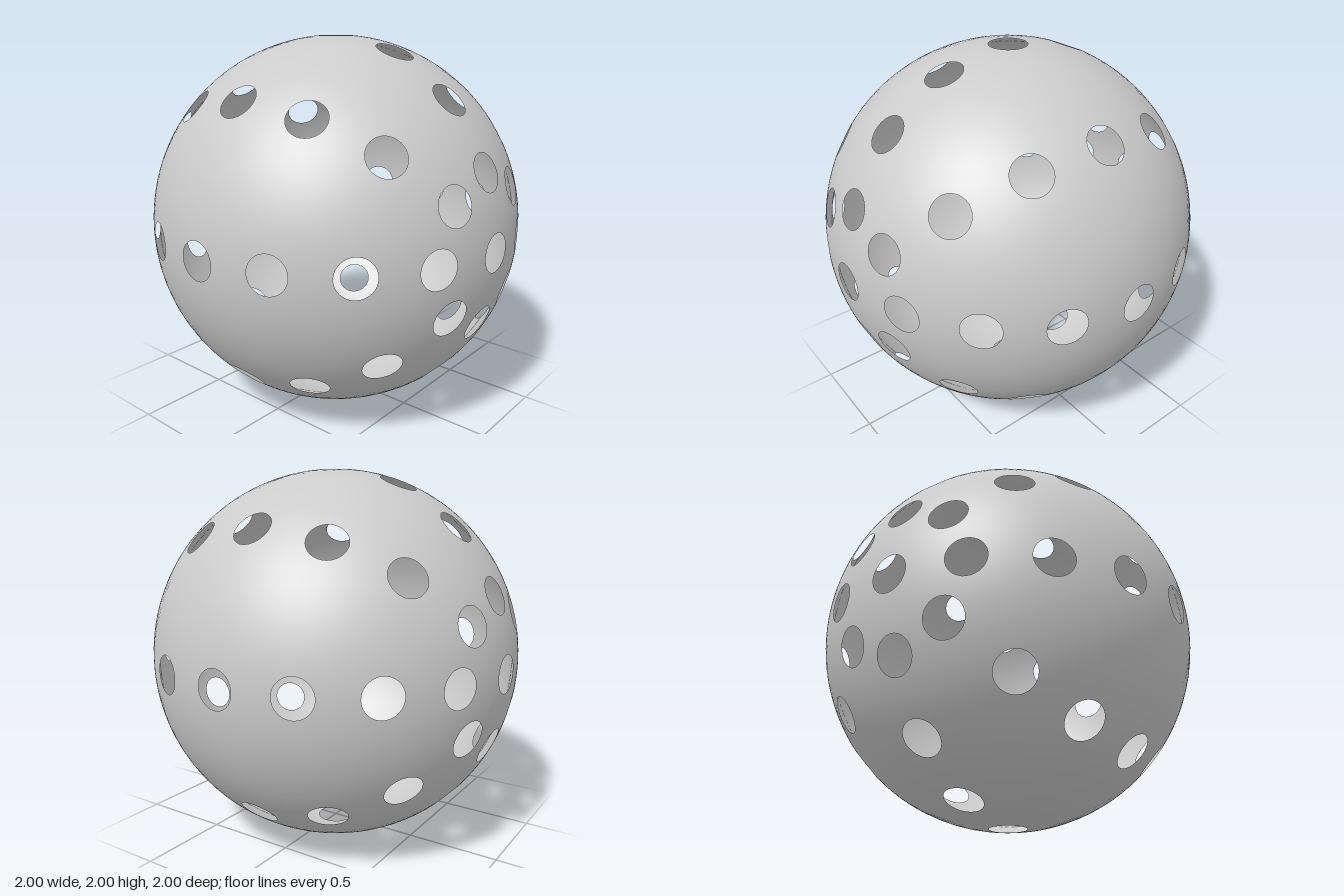
import * as THREE from 'three';

const RADIUS = 1.0048;            // hole rims on the axes then reach exactly 1
const HOLE = Math.asin(0.098);    // angular radius of a hole
const STEP = Math.PI / 8;         // angle between hole rings, counted from the z axis
const SECTOR = Math.PI / 4;       // angle between holes around the z axis
const RINGS = 4, N_THETA = 12, N_PHI = 32;

const direction = (theta, phi) => new THREE.Vector3(
  Math.sin(theta) * Math.cos(phi), Math.sin(theta) * Math.sin(phi), Math.cos(theta));

// Spherical patch between a round hole at its centre and a counter-clockwise outline
function addHoledPatch(positions, indices, centre, outline) {
  const base = positions.length / 3, count = outline.length, row = RINGS + 1;
  for (const point of outline) {
    const reach = centre.angleTo(point);
    const tangent = point.clone().addScaledVector(centre, -point.dot(centre)).normalize();
    for (let k = 0; k <= RINGS; k++) {
      const angle = THREE.MathUtils.lerp(HOLE, reach, k / RINGS);
      const p = centre.clone().multiplyScalar(Math.cos(angle)).addScaledVector(tangent, Math.sin(angle));
      positions.push(p.x, p.y, p.z);
    }
  }
  for (let i = 0; i < count; i++) {
    for (let k = 0; k < RINGS; k++) {
      const a = base + i * row + k, b = base + ((i + 1) % count) * row + k;
      indices.push(a, a + 1, b + 1, a, b + 1, b);
    }
  }
}

// Outline of one cell, walked along its four sides
function cellOutline(theta, phi) {
  const t0 = theta - STEP / 2, t1 = theta + STEP / 2;
  const p0 = phi - SECTOR / 2, p1 = phi + SECTOR / 2;
  const corners = [[t0, p0], [t1, p0], [t1, p1], [t0, p1]];
  const points = [];
  corners.forEach(([t, p], side) => {
    const [tn, pn] = corners[(side + 1) % 4];
    const n = side % 2 ? N_PHI : N_THETA;
    for (let i = 0; i < n; i++) points.push(direction(t + (tn - t) * i / n, p + (pn - p) * i / n));
  });
  return points;
}

export function createModel() {
  const positions = [], indices = [];

  // Seven rings of eight holes
  for (let ring = 1; ring <= 7; ring++) {
    for (let s = 0; s < 8; s++) {
      const theta = ring * STEP, phi = s * SECTOR;
      addHoledPatch(positions, indices, direction(theta, phi), cellOutline(theta, phi));
    }
  }

  // Front and back caps, each with one central hole
  for (const sign of [1, -1]) {
    const outline = [];
    for (let i = 0; i < 8 * N_PHI; i++) {
      const phi = sign * (i / N_PHI + 0.5) * SECTOR;
      outline.push(direction(sign > 0 ? STEP / 2 : Math.PI - STEP / 2, phi));
    }
    addHoledPatch(positions, indices, new THREE.Vector3(0, 0, sign), outline);
  }

  // On a unit sphere the positions are also the smooth normals
  const geometry = new THREE.BufferGeometry();
  geometry.setAttribute('position', new THREE.Float32BufferAttribute(positions, 3));
  geometry.setAttribute('normal', new THREE.Float32BufferAttribute(positions, 3));
  geometry.setIndex(indices);
  geometry.scale(RADIUS, RADIUS, RADIUS);
  geometry.translate(0, 1, 0);

  const shell = new THREE.Mesh(geometry,
    new THREE.MeshStandardMaterial({ color: 0xcccccc, side: THREE.DoubleSide }));
  shell.name = 'perforatedShell';

  const group = new THREE.Group();
  group.name = 'perforatedBall';
  group.add(shell);
  return group;
}
